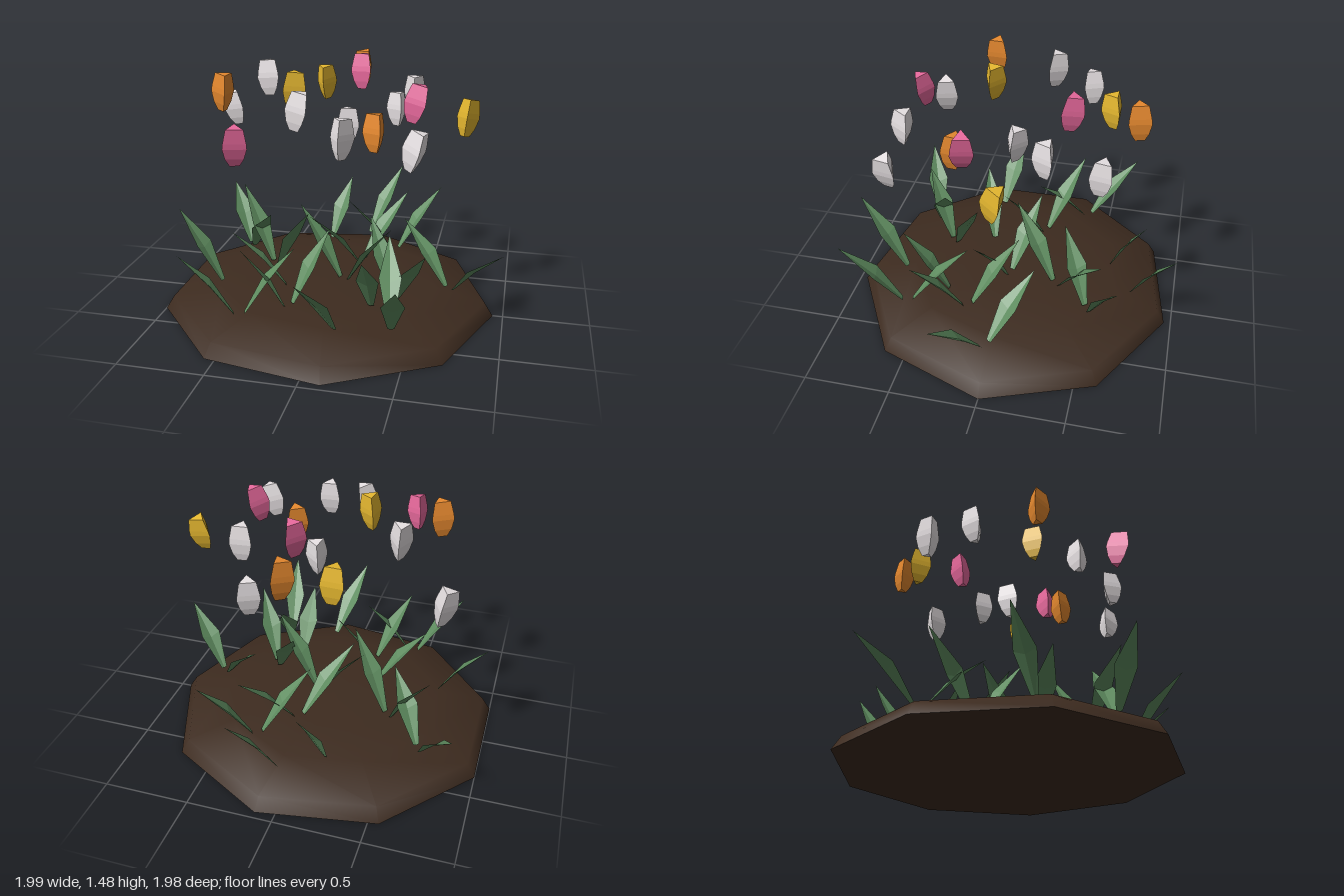
import * as THREE from 'three';

const mat = (name, color) => {
  const m = new THREE.MeshStandardMaterial({ color });
  m.name = name;
  return m;
};

// Three-sided faceted bud, centred on its own middle, ridge facing +z
function budGeometry() {
  const profile = [[0, 0], [0.03, 0], [0.056, 0.045], [0.073, 0.105], [0.07, 0.135], [0.053, 0.21], [0, 0.21]];
  const g = new THREE.LatheGeometry(profile.map(([r, y]) => new THREE.Vector2(r, y - 0.105)), 3).toNonIndexed();
  g.computeVertexNormals();
  return g;
}

// Folded, pointed blade from a base point to a tip point
function leafGeometry(base, tip) {
  const dir = new THREE.Vector3(tip.x - base.x, 0, tip.z - base.z).normalize();
  const side = new THREE.Vector3(-dir.z, 0, dir.x);
  const at = (t, lift, w) => {
    const p = base.clone().lerp(tip, t).addScaledVector(side, w);
    p.y += lift;
    return p;
  };
  const foot = at(0, 0, 0);
  const fold = at(0.42, 0.02, 0);
  const tris = [];
  for (const s of [1, -1]) {
    const heel = at(0, 0.005, 0.018 * s);
    const edge = at(0.42, 0.045, 0.064 * s);
    const faces = [[foot, heel, edge], [foot, edge, fold], [fold, edge, tip]];
    for (const [a, b, c] of faces) tris.push(a, ...(s > 0 ? [b, c] : [c, b]));
  }
  const g = new THREE.BufferGeometry().setFromPoints(tris);
  g.computeVertexNormals();
  return g;
}

// Plant root on the soil: midway between two leaf tips, or just beside the bud towards a single leaf
function rootPoint(head, tips) {
  const p = new THREE.Vector3(head.x, 0, head.z);
  if (tips.length === 2) p.addVectors(tips[0], tips[1]).multiplyScalar(0.5);
  if (tips.length === 1) {
    p.add(new THREE.Vector3(tips[0].x - head.x, 0, tips[0].z - head.z).setLength(0.035));
  }
  return p.setY(0.165);
}

export function createModel() {
  const root = new THREE.Group();
  root.name = 'flowerBed';
  const soil = mat('soil brown', 0x3d2b1f);
  const green = mat('leaf green', 0x5f8d60);
  green.side = THREE.DoubleSide;
  const petals = {
    w: mat('petal white', 0xf2ecee),
    o: mat('petal orange', 0xe6892f),
    p: mat('petal pink', 0xea6a9e),
    y: mat('petal yellow', 0xe6b830),
  };

  // Nine-sided soil mound and its underside
  const mound = new THREE.Group();
  mound.name = 'soilMound';
  const slope = [[1, 0], [0.95, 0.08], [0.66, 0.147], [0.33, 0.165], [0, 0.168]];
  const top = new THREE.Mesh(
    new THREE.LatheGeometry(slope.map(([r, y]) => new THREE.Vector2(r, y)), 9, Math.PI / 2), soil);
  top.name = 'moundTop';
  const under = new THREE.Mesh(new THREE.CircleGeometry(1, 9).rotateX(Math.PI / 2), soil);
  under.name = 'moundUnderside';
  mound.add(top, under);
  mound.position.x = -0.06;
  mound.scale.z = 0.975;
  root.add(mound);

  // Flowers: colour, bud x, y, z, heading in degrees, leaf height, leaf tips [x, z]
  const flowers = [
    ['w', -0.745, 1.105, -0.34, 175, 0.5, [-0.89, -0.665], [-0.45, -0.07]],
    ['o', -0.61, 1.335, 0.235, 25, 0.575, [-0.97, 0.13]],
    ['w', -0.46, 1.35, -0.15, 185, 0.6, [-0.16, 0.1], [-0.705, -0.33]],
    ['p', -0.4, 1.155, 0.665, 80, 0.54, [-0.73, 0.73], [-0.14, 0.48]],
    ['y', -0.22, 1.35, 0.17, 80, 0.52, [-0.57, 0.3]],
    ['y', -0.205, 1.255, -0.53, 0, 0.55, [-0.08, -0.79]],
    ['w', -0.125, 1.295, 0.425, 165, 0.57, [0, 0.23], [-0.4, 0.65]],
    ['o', 0.02, 1.335, -0.69, 280, 0.59, [0.24, -0.99]],
    ['p', 0.075, 1.375, -0.33, 167, 0.55, [-0.18, 0.02], [0.34, -0.58]],
    ['w', 0.045, 1.115, -0.015, 200, 0.57, [-0.27, -0.12], [0.35, 0.17]],
    ['w', 0.145, 1.21, 0.605, 0, 0.56, [-0.01, 0.99]],
    ['o', 0.265, 1.165, 0.285, 30, 0.54, [0.26, 0.62]],
    ['w', 0.26, 1.105, -0.53, 25, 0.55, [0.54, -0.69], [-0.01, -0.31]],
    ['w', 0.4, 1.27, -0.25, 5, 0],
    ['p', 0.47, 1.31, 0.175, 165, 0.55, [0.58, 0.48], [0.18, -0.07]],
    ['w', 0.52, 1.16, 0.575, 20, 0.55, [0.49, 0.94], [0.34, 0.2]],
    ['y', 0.73, 1.19, -0.055, 0, 0.5, [0.99, 0.25], [0.37, -0.2]],
  ];
  const bud = budGeometry();
  const up = new THREE.Vector3(0, 1, 0);
  for (const [color, x, y, z, heading, leafHeight, ...ends] of flowers) {
    const plant = new THREE.Group();
    plant.name = 'flower';
    const head = new THREE.Mesh(bud, petals[color]);
    head.name = 'flowerHead';
    head.position.set(x, y, z);
    const tips = ends.map(([tx, tz]) => new THREE.Vector3(tx, leafHeight, tz));
    const foot = rootPoint(head.position, tips);

    // Each bud leans away from the root of its plant
    const lean = new THREE.Vector3((x - foot.x) * 2.5, 1, (z - foot.z) * 2.5).normalize();
    head.rotation.y = THREE.MathUtils.degToRad(heading);
    head.quaternion.premultiply(new THREE.Quaternion().setFromUnitVectors(up, lean));
    plant.add(head);
    for (const tip of tips) {
      const out = new THREE.Vector3(tip.x - foot.x, 0, tip.z - foot.z).setLength(0.03);
      const leaf = new THREE.Mesh(leafGeometry(foot.clone().add(out), tip), green);
      leaf.name = 'leaf';
      plant.add(leaf);
    }
    root.add(plant);
  }
  return root;
}
